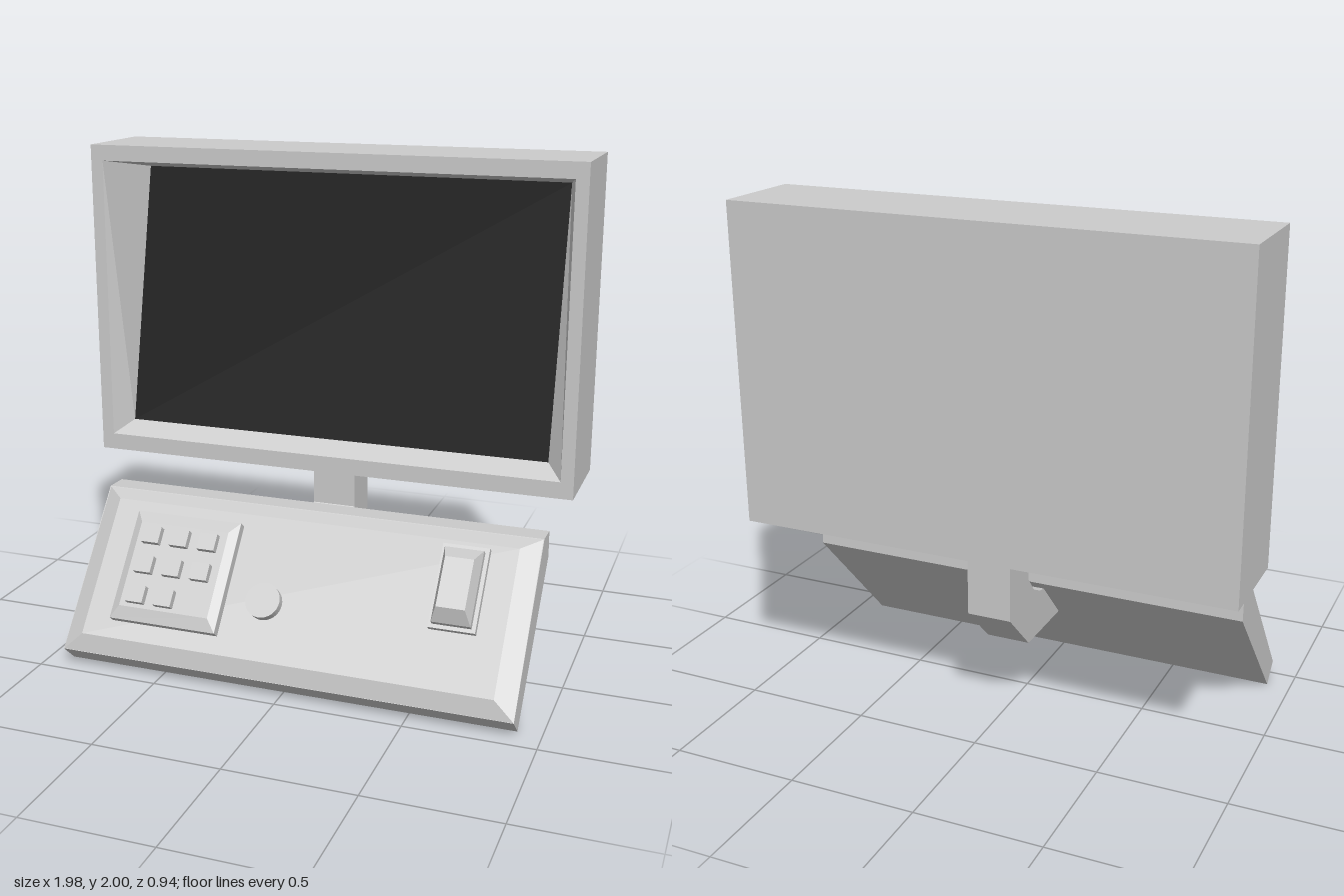
import * as THREE from 'three';

const grey = new THREE.MeshStandardMaterial({ color: 0xcccccc, flatShading: true });
const black = new THREE.MeshStandardMaterial({ color: 0x111111, flatShading: true });

function add(parent, name, geometry, material = grey) {
  const mesh = new THREE.Mesh(geometry, material);
  mesh.name = name;
  parent.add(mesh);
  return mesh;
}

// Rectangle of corners, counter-clockwise from the front; z may differ at bottom and top
const rect = (halfW, y0, y1, z0, z1 = z0) => [
  [-halfW, y0, z0], [halfW, y0, z0], [halfW, y1, z1], [-halfW, y1, z1],
];

// Skin through rectangular rings running from back to front, with optional end caps
function loft(rings, backCap = true, frontCap = true) {
  const pos = [];
  const quad = (a, b, c, d) => pos.push(...a, ...b, ...c, ...a, ...c, ...d);
  for (let i = 0; i < rings.length - 1; i++) {
    for (let j = 0; j < 4; j++) {
      const k = (j + 1) % 4;
      quad(rings[i][j], rings[i][k], rings[i + 1][k], rings[i + 1][j]);
    }
  }
  const first = rings[0], last = rings[rings.length - 1];
  if (backCap) quad(first[3], first[2], first[1], first[0]);
  if (frontCap) quad(...last);
  const geometry = new THREE.BufferGeometry();
  geometry.setAttribute('position', new THREE.Float32BufferAttribute(pos, 3));
  geometry.computeVertexNormals();
  return geometry;
}

// Side profile given as [z, y], extruded across x
function sideProfile(points, width) {
  const shape = new THREE.Shape(points.map(([z, y]) => new THREE.Vector2(z, y)));
  return new THREE.ExtrudeGeometry(shape, { depth: width, bevelEnabled: false })
    .translate(0, 0, -width / 2)
    .rotateY(-Math.PI / 2);
}

function createMonitor() {
  const monitor = new THREE.Group();
  monitor.name = 'monitor';
  // Screen leans back: shallow at the bottom, deep at the top
  const screenRing = rect(0.877, 0.855, 1.89, -0.15, -0.375);
  add(monitor, 'monitorCase', loft([
    rect(0.99, 0.74, 2, -0.465),
    rect(0.99, 0.74, 2, -0.075),
    rect(0.94, 0.806, 1.938, -0.075),
    screenRing,
  ], true, false));
  add(monitor, 'screen', loft([screenRing], false, true), black);
  return monitor;
}

// Everything on the sloping face: local y runs up the slope, local z points out of it
function createControls() {
  const controls = new THREE.Group();
  controls.name = 'controls';
  controls.position.set(0, 0.3655, 0.277);
  controls.rotation.x = -0.685;

  add(controls, 'panelBevel', loft([
    rect(0.908, -0.351, 0.347, -0.037),
    rect(0.83, -0.287, 0.287, 0),
  ]));

  // Keypad: bevelled plate with eight keys, the lower right place left empty
  const keypad = new THREE.Group();
  keypad.name = 'keypad';
  keypad.position.x = -0.49;
  controls.add(keypad);
  add(keypad, 'keypadPlate', loft([
    rect(0.223, -0.216, 0.234, -0.005),
    rect(0.223, -0.216, 0.234, 0.037),
    rect(0.188, -0.166, 0.184, 0.057),
  ]));
  const keyGeometry = new THREE.BoxGeometry(0.073, 0.068, 0.045);
  for (let row = 0; row < 3; row++) {
    for (let col = 0; col < 3; col++) {
      if (row === 0 && col === 2) continue;
      add(keypad, 'key', keyGeometry)
        .position.set((col - 1) * 0.12, -0.117 + row * 0.123, 0.0635);
    }
  }

  // Round push button
  const disc = new THREE.CylinderGeometry(0.069, 0.069, 0.04, 32).rotateX(Math.PI / 2);
  add(controls, 'roundButton', disc).position.set(-0.106, -0.058, 0.015);

  // Switch: base plate, straight collar and tapered cap
  const toggle = new THREE.Group();
  toggle.name = 'switch';
  toggle.position.x = 0.636;
  controls.add(toggle);
  add(toggle, 'switchPlate', loft([
    rect(0.09, -0.065, 0.264, -0.005),
    rect(0.09, -0.065, 0.264, 0.027),
  ]));
  add(toggle, 'switchCap', loft([
    rect(0.075, -0.05, 0.243, 0.025),
    rect(0.075, -0.05, 0.243, 0.054),
    rect(0.055, -0.004, 0.19, 0.105),
  ]));
  return controls;
}

export function createModel() {
  const model = new THREE.Group();
  model.name = 'controlConsole';
  model.add(createMonitor());

  // Bent arm joining the panel to the monitor
  add(model, 'supportArm', sideProfile([
    [-0.187, 0.745], [-0.36, 0.745], [-0.36, 0.468], [-0.188, 0.297],
    [0.14, 0.297], [0, 0.465], [-0.04, 0.467], [-0.077, 0.475],
    [-0.135, 0.504], [-0.187, 0.568],
  ], 0.176));

  // Sloping panel body
  add(model, 'panelBody', sideProfile([
    [0.395, 0], [0.471, 0.07], [0.03, 0.612], [-0.069, 0.609], [-0.074, 0.504],
  ], 1.816));
  model.add(createControls());
  return model;
}
